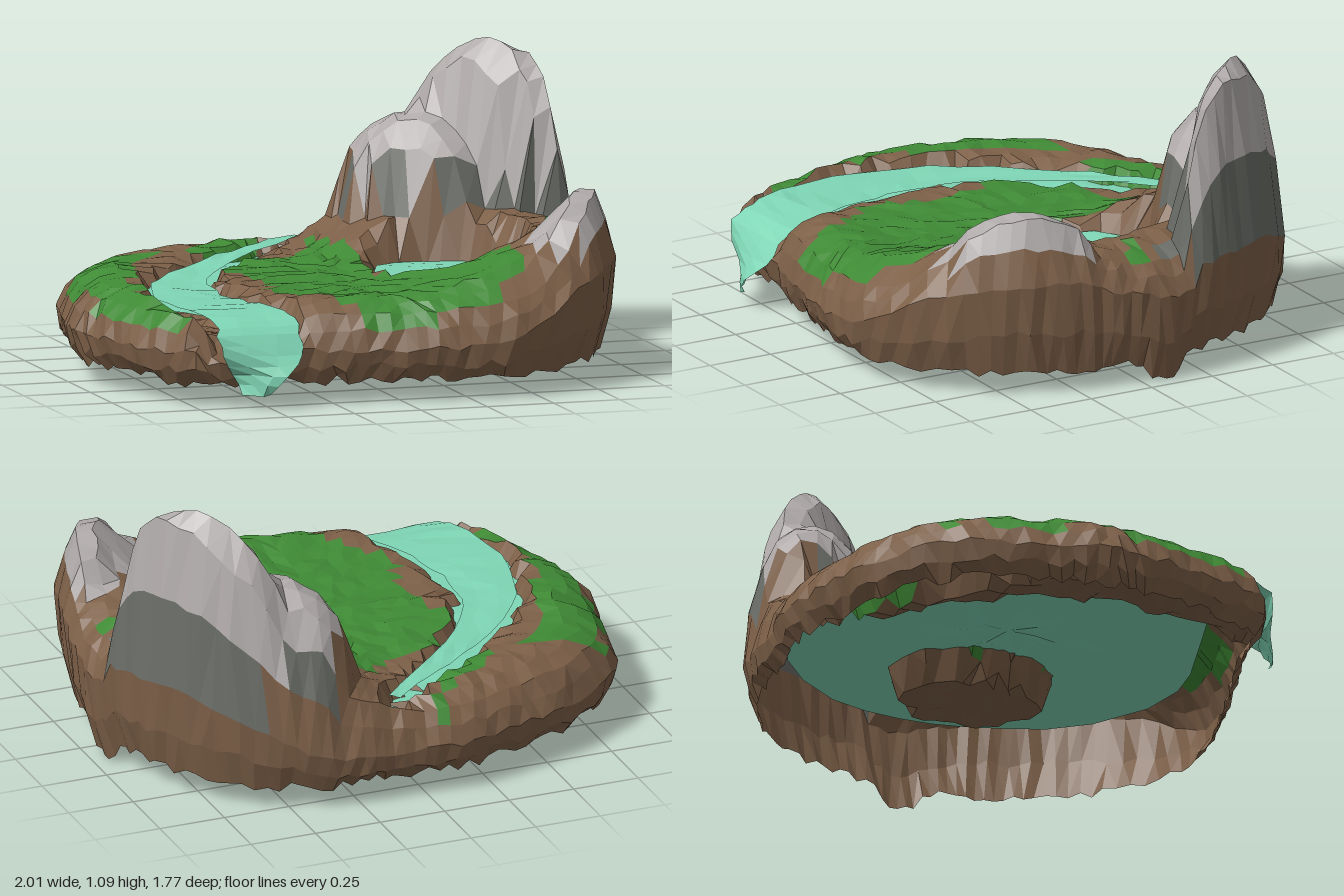
import * as THREE from 'three';

const TOP = 14, N = TOP + 4;
const smooth = (a, b, t) => { const k = Math.min(1, Math.max(0, (t - a) / (b - a))); return k * k * (3 - 2 * k); };
const mix = (a, b, k) => a + (b - a) * k;
// Repeatable noise in -1..1
const noise = (a, b, c = 0) => { const s = Math.sin(a * 127.1 + b * 311.7 + c * 74.7) * 43758.5453; return (s - Math.floor(s)) * 2 - 1; };

// Island outline seen from above
const outline = new THREE.CatmullRomCurve3([
  [1, 0], [0.97, 0.2], [0.92, 0.42], [0.78, 0.65], [0.48, 0.86], [0.2, 0.88], [0, 0.85], [-0.25, 0.8],
  [-0.5, 0.75], [-0.76, 0.72], [-0.88, 0.5], [-0.96, 0.25], [-1, 0.05], [-0.95, -0.2], [-0.88, -0.48], [-0.66, -0.69],
  [-0.4, -0.8], [-0.13, -0.88], [0.1, -0.87], [0.3, -0.87], [0.53, -0.82], [0.76, -0.66], [0.92, -0.42], [0.98, -0.2],
].map(([x, z]) => new THREE.Vector3(x, 0, z)), true);

// River centre line: x, y, z and half width, ending in the waterfall
const riverPts = [
  [0.09, 0.375, -0.75, 0.022], [-0.06, 0.37, -0.61, 0.035], [-0.29, 0.36, -0.41, 0.055], [-0.54, 0.345, -0.1, 0.09],
  [-0.615, 0.34, 0.17, 0.12], [-0.6, 0.337, 0.42, 0.145], [-0.545, 0.335, 0.62, 0.15], [-0.53, 0.29, 0.74, 0.155],
  [-0.53, 0.18, 0.79, 0.135], [-0.55, 0.06, 0.79, 0.05]];
const riverLine = new THREE.CatmullRomCurve3(riverPts.map(([x, y, z]) => new THREE.Vector3(x, y, z)));
const riverWidth = new THREE.CatmullRomCurve3(riverPts.map((p) => new THREE.Vector3(p[3], 0, 0)));
const riverSamples = Array.from({ length: 60 }, (_, i) => [riverLine.getPoint(i / 59), riverWidth.getPoint(i / 59).x]);

// Grass patches seen from above
const grassPatches = [
  [[0.12, -0.6], [0.16, -0.2], [0.13, 0.1], [0.28, 0.33], [0.5, 0.36], [0.5, 0.7], [0.3, 0.83], [-0.15, 0.84],
    [-0.2, 0.6], [-0.38, 0.4], [-0.3, 0.1], [-0.36, -0.1], [-0.25, -0.33], [-0.03, -0.4]],
  [[-0.8, -0.52], [-0.48, -0.52], [-0.62, -0.33], [-0.74, -0.1], [-0.82, 0.3], [-0.73, 0.66], [-0.86, 0.6], [-0.95, 0.2], [-0.92, -0.25]],
  [[-0.4, -0.53], [-0.12, -0.75], [-0.05, -0.64], [-0.25, -0.46]],
  [[-0.13, -0.9], [-0.02, -0.87], [-0.05, -0.74]],
  [[0.78, -0.03], [0.9, -0.04], [0.95, 0.09]],
];
function inside(poly, x, z) {
  let hit = false;
  poly.forEach(([px, pz], i) => {
    const [qx, qz] = poly[(i + 1) % poly.length];
    if ((pz > z) !== (qz > z) && x < px + (qx - px) * (z - pz) / (qz - pz)) hit = !hit;
  });
  return hit;
}

// Rock domes: centre, direction of the long axis, half length, half width, foot, height, bluntness
const domes = {
  peak: { x: 0.745, z: -0.465, dir: [0.707, 0.707], len: 0.4, wid: 0.145, foot: 0.45, high: 0.65, pow: 0.5 },
  shoulder: { x: 0.49, z: -0.55, dir: [0.707, 0.707], len: 0.31, wid: 0.2, foot: 0.42, high: 0.41, pow: 0.38 },
  boulder: { x: 0.8, z: 0.41, dir: [-0.53, 0.85], len: 0.27, wid: 0.125, foot: 0.48, high: 0.2, pow: 0.5 },
};
function domeDist({ x, z, dir: [dx, dz], len, wid }, px, pz) {
  const u = px - x, v = pz - z;
  return Math.hypot((u * dx + v * dz) / len, (u * dz - v * dx) / wid);
}

// Height of the upper surface
function groundHeight(x, z, u) {
  let h = 0.36 + 0.02 * smooth(0.55, 0.8, u) - 0.05 * smooth(0.82, 0.93, u);
  h += 0.13 * smooth(0, z < -0.3 ? 0.4 : 0.65, x) * smooth(0.95, 0.6, z);
  h += 0.05 * smooth(1.7, 1, domeDist(domes.boulder, x, z));
  for (const d of Object.values(domes)) {
    const k = domeDist(d, x, z);
    if (k < 1) h = Math.max(h, d.foot + d.high * Math.pow(1 - k * k, d.pow));
  }
  // Lake bed
  h -= Math.max(0, h - 0.21) * smooth(1.2, 0.85, Math.hypot((x - 0.42) / 0.24, z / 0.3));
  // River bed
  let near = 9;
  for (const [p, w] of riverSamples) near = Math.min(near, Math.hypot(x - p.x, z - p.z) / (w + 0.01));
  return h - 0.14 * smooth(1.2, 0.75, near);
}

// Square grid folded into a disc: ring number and angle of a grid point
function discPoint(a, b) {
  const wide = Math.abs(a) > Math.abs(b), r = wide ? a : b;
  if (!r) return [0, 0];
  const phi = wide ? (Math.PI / 4) * b / a : Math.PI / 2 - (Math.PI / 4) * a / b;
  return [Math.abs(r), phi + (r < 0 ? Math.PI : 0)];
}

// Point of the land: upper surface out to the rim, then four rings down the wall
function landPoint(a, b) {
  const [ring, angle] = discPoint(a, b);
  const edge = outline.getPoint((angle / (Math.PI * 2) + 1) % 1);
  const u = Math.min(ring, TOP) / TOP * 0.93;
  const jit = ring < TOP ? 0.013 : 0.004;
  const p = new THREE.Vector3(edge.x * u + noise(a, b) * jit, 0, edge.z * u + noise(a, b, 2) * jit);
  const top = groundHeight(p.x, p.z, u) + noise(a, b, 5) * 0.008;
  if (ring <= TOP) { p.y = top; return p; }
  const theta = Math.atan2(edge.z, edge.x);
  const base = 0.095 + noise(a, b, 7) * 0.02 - 0.1 * Math.exp(-(((theta + 0.1) / 0.09) ** 2));
  const wide = Math.min(mix(0.21, 0.44, smooth(0.3, 0.9, edge.x)), mix(base, top, 0.75));
  const [scale, y] = [[0.972, mix(wide, top, 0.55)], [1, wide], [0.985, mix(base, wide, 0.45)], [0.945, base]][ring - TOP - 1];
  const s = scale + noise(a, b, 3) * 0.008;
  return p.set(edge.x * s, y + (ring < N ? noise(a, b, 4) * 0.012 : 0), edge.z * s);
}

function landType(c) {
  const r = Math.hypot(c.x, c.z), span = Math.abs(Math.atan2(c.z, c.x) + 0.64) / 0.54;
  if (span < 1 && r > 0.5) {
    if (c.y > 0.615) return 'mountainRock';
    if (c.y > (r > 0.88 ? 0.45 : 0.53)) return 'mountainFoot';
  }
  if (domeDist(domes.boulder, c.x, c.z) < 1.25 && c.y > 0.52) return 'boulder';
  return c.y > 0.27 && grassPatches.some((g) => inside(g, c.x, c.z)) ? 'grass' : 'soil';
}

function makeMesh(name, positions, color) {
  const g = new THREE.BufferGeometry();
  g.setAttribute('position', new THREE.Float32BufferAttribute(positions, 3));
  g.computeVertexNormals();
  const mesh = new THREE.Mesh(g, new THREE.MeshStandardMaterial({ color, flatShading: true, side: THREE.DoubleSide }));
  mesh.name = name;
  return mesh;
}

// Triangles between successive rows of points
function loft(rows) {
  const out = [];
  for (let i = 0; i + 1 < rows.length; i++) for (let j = 0; j + 1 < rows[i].length; j++) {
    const a = rows[i][j], b = rows[i][j + 1], c = rows[i + 1][j + 1], d = rows[i + 1][j];
    for (const p of [a, d, c, a, c, b]) out.push(p.x, p.y, p.z);
  }
  return out;
}

// Flat, slightly rippled water surface
function waterDisc(name, y, rings, segs, rim) {
  const rows = [];
  for (let i = 0; i <= rings; i++) rows.push(Array.from({ length: segs + 1 }, (_, j) => {
    const p = rim((j % segs) / segs, i / rings);
    p.y = y + (i ? noise(i, j % segs, 9) * 0.006 : 0);
    return p;
  }));
  return makeMesh(name, loft(rows.reverse()), 0x7fd6b6);
}

export function createModel() {
  const model = new THREE.Group();
  model.name = 'island';

  // Land, sorted by colour into separate meshes
  const colors = { soil: 0x7d6048, grass: 0x3f8a35, mountainRock: 0xb0abaa, mountainFoot: 0x6a6d67, boulder: 0xb0abaa };
  const parts = Object.fromEntries(Object.keys(colors).map((k) => [k, []]));
  for (let a = -N; a < N; a++) for (let b = -N; b < N; b++) {
    const p = landPoint(a, b), q = landPoint(a + 1, b), r = landPoint(a + 1, b + 1), s = landPoint(a, b + 1);
    const type = landType(p.clone().add(q).add(r).add(s).divideScalar(4));
    const corners = (a + 0.5) * (b + 0.5) > 0 ? [p, r, q, p, s, r] : [p, s, q, q, s, r];
    for (const v of corners) parts[type].push(v.x, v.y, v.z);
  }
  for (const k in parts) model.add(makeMesh(k, parts[k], colors[k]));

  // River and waterfall ribbon
  const rows = [];
  for (let i = 0; i <= 30; i++) {
    const t = i / 30, p = riverLine.getPoint(t), w = riverWidth.getPoint(t).x, d = riverLine.getTangent(t);
    const side = new THREE.Vector3(d.z + 0.3, 0, -d.x).normalize();
    rows.push([-1, -0.4, 0.4, 1].map((k, j) => p.clone().addScaledVector(side, k * w * (1 + noise(i, j) * 0.08))
      .add(new THREE.Vector3(0, noise(i, j, 6) * 0.005, (1 - k * k) * 0.02 * smooth(0.75, 0.9, t)))));
  }
  model.add(makeMesh('riverAndWaterfall', loft(rows), 0x7fd6b6));

  // Lake surface and the water layer under the land
  model.add(waterDisc('lake', 0.335, 3, 13, (t, k) =>
    new THREE.Vector3(0.42 + Math.cos(t * Math.PI * 2) * 0.255 * k, 0, Math.sin(t * Math.PI * 2) * 0.31 * k)));
  model.add(waterDisc('groundwater', 0.315, 7, 32, (t, k) => outline.getPoint(t).multiplyScalar(k * 0.84)));

  // Rest the lowest point on the ground
  const box = new THREE.Box3().setFromObject(model);
  model.children.forEach((m) => m.geometry.translate(0, -box.min.y, 0));
  return model;
}
